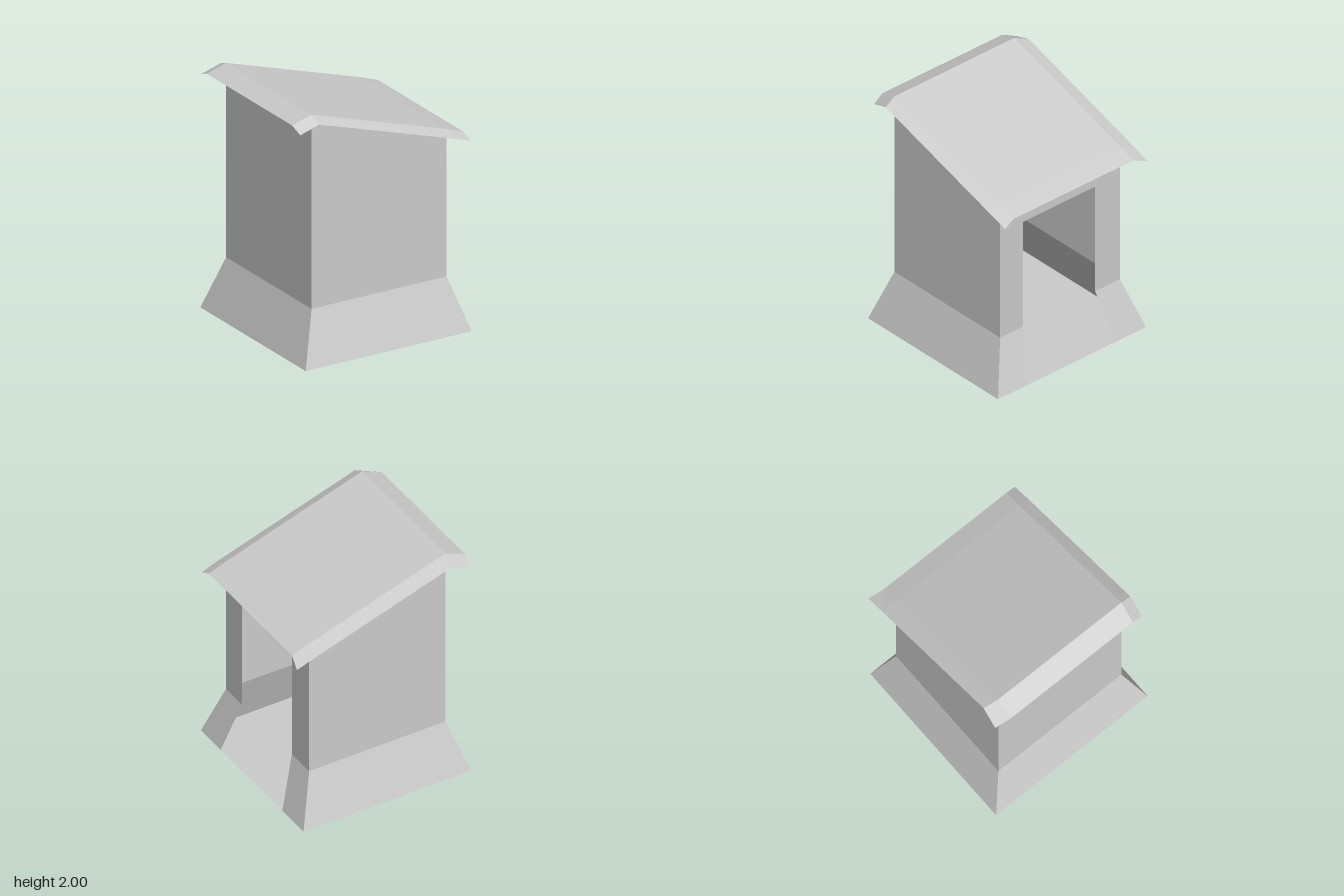
import * as THREE from 'three';

const material = new THREE.MeshStandardMaterial({ color: 0xcccccc, flatShading: true, side: THREE.DoubleSide });

// Thin sheet made of four-cornered panels, corners counter-clockwise from outside
function sheet(name, panels) {
  const points = [];
  for (const [a, b, c, d] of panels) points.push(...a, ...b, ...c, ...a, ...c, ...d);
  const geometry = new THREE.BufferGeometry();
  geometry.setAttribute('position', new THREE.Float32BufferAttribute(points, 3));
  geometry.computeVertexNormals();
  const mesh = new THREE.Mesh(geometry, material);
  mesh.name = name;
  return mesh;
}

// Panels between neighbouring rows of points
function loft(rows) {
  const panels = [];
  for (let r = 0; r < rows.length - 1; r++) {
    for (let c = 0; c < rows[r].length - 1; c++) {
      panels.push([rows[r][c], rows[r + 1][c], rows[r + 1][c + 1], rows[r][c + 1]]);
    }
  }
  return panels;
}

export function createModel() {
  const booth = new THREE.Group();
  booth.name = 'booth';

  const L = -0.61, R = 0.585, Z = 0.6;            // upright walls
  const baseL = -0.75, baseR = 0.72, baseZ = 0.74; // flared foot
  const bend = 0.425, highTop = 2, lowTop = 1.62, doorTop = 1.365;

  // Solid walls: top, bend and foot rows running front right -> front left -> back
  const top = [[L, highTop, -Z], [L, highTop, Z], [R, lowTop, Z]];
  const middle = [[L, bend, -Z], [L, bend, Z], [R, bend, Z]];
  const foot = [[baseL, 0, -baseZ], [baseL, 0, baseZ], [baseR, 0, baseZ]];
  booth.add(sheet('sideWalls', loft([top, middle, foot])));
  booth.add(sheet('backWall', loft([
    [[R, lowTop, -Z], [L, highTop, -Z]],
    [[R, bend, -Z], [L, bend, -Z]],
    [[baseR, 0, -baseZ], [baseL, 0, -baseZ]],
  ])));

  // Door wall: a post on each side of the opening and a lintel above
  const post = (z1, z2, foot1, foot2) => loft([
    [[R, doorTop, z1], [R, doorTop, z2]],
    [[R, bend, z1], [R, bend, z2]],
    [[baseR, 0, foot1], [baseR, 0, foot2]],
  ]);
  booth.add(sheet('doorWall', [
    ...post(Z, 0.37, baseZ, 0.455),
    ...post(-0.35, -Z, -0.435, -baseZ),
    [[R, lowTop, Z], [R, doorTop, Z], [R, doorTop, -Z], [R, lowTop, -Z]],
  ]));

  // Floor
  booth.add(sheet('floor', [[
    [baseL, 0, -baseZ], [baseL, 0, baseZ], [baseR, 0, baseZ], [baseR, 0, -baseZ],
  ]]));

  // Sloping roof with slightly uneven eaves folded down all round
  booth.add(sheet('roof', loft([
    [[-0.74, 1.89, -0.74], [-0.58, 1.95, -0.72], [0.6, 1.575, -0.72], [0.765, 1.52, -0.72]],
    [[-0.77, 1.94, -0.62], [L, highTop, -Z], [R, lowTop, -Z], [0.735, 1.565, -Z]],
    [[-0.77, 1.94, 0.58], [L, highTop, Z], [R, lowTop, Z], [0.735, 1.565, Z]],
    [[-0.757, 1.89, 0.675], [-0.602, 1.95, 0.695], [0.585, 1.575, 0.695], [0.745, 1.52, 0.692]],
  ])));

  return booth;
}
